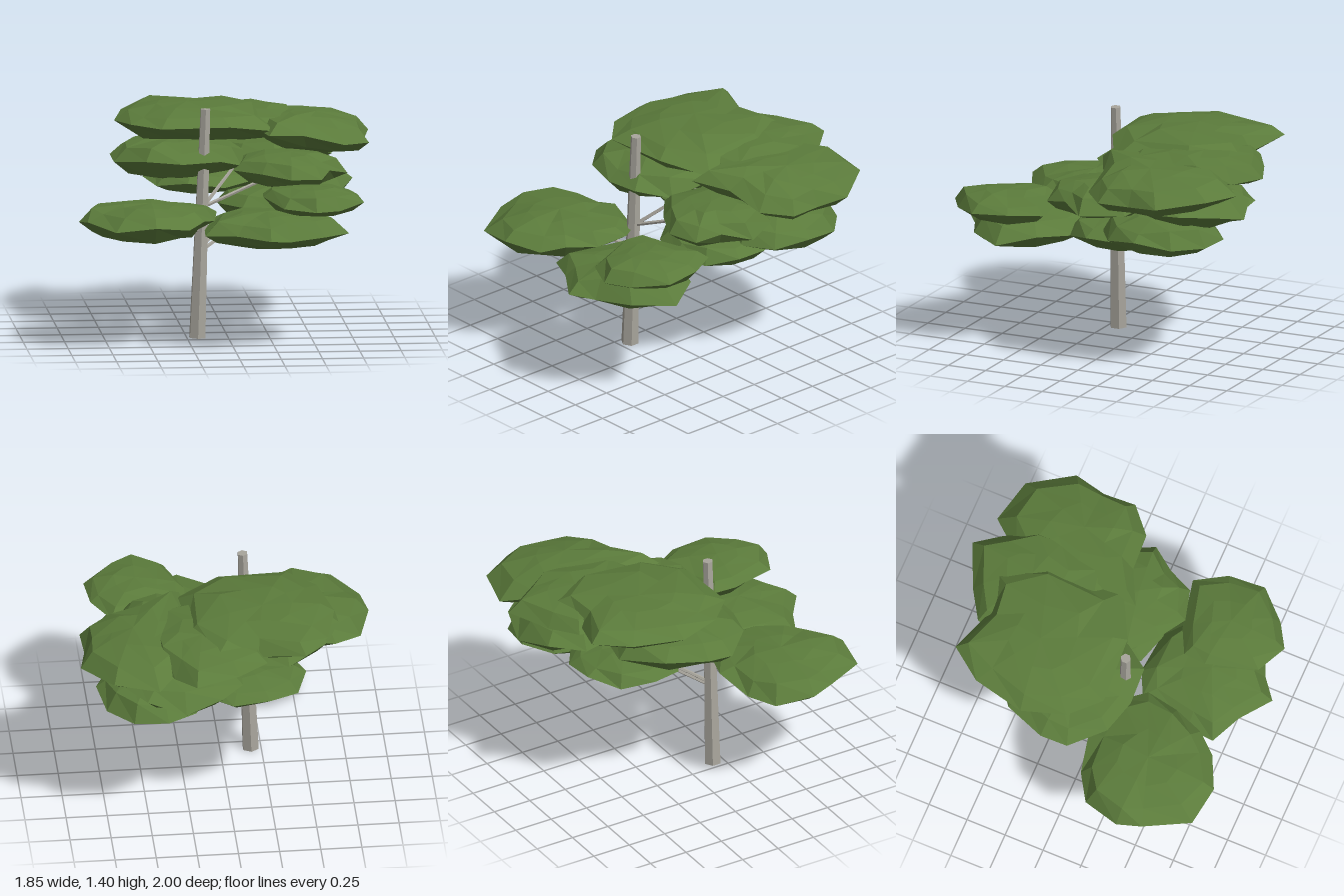
import * as THREE from 'three';

// Repeatable noise in -1..1
function noise(n) {
  const s = Math.sin(n * 12.9898) * 43758.5453;
  return (s - Math.floor(s)) * 2 - 1;
}

// Rounded footprint inside a rectangle, clockwise from above
function oval(x0, x1, z0, z1, turn) {
  const points = [];
  for (let i = 0; i < 10; i++) {
    const a = turn + (i / 10) * Math.PI * 2;
    points.push([(x0 + x1) / 2 + ((x1 - x0) / 2) * Math.cos(a), (z0 + z1) / 2 + ((z1 - z0) / 2) * Math.sin(a)]);
  }
  return points;
}

// Faceted leaf pad: its footprint is widest at mid-height and shrinks towards top and bottom
function leafPad(y0, y1, outline, [tiltX, tiltZ], seed) {
  const n = outline.length, h = y1 - y0;
  const cx = outline.reduce((s, p) => s + p[0], 0) / n;
  const cz = outline.reduce((s, p) => s + p[1], 0) / n;
  // scale, height, unevenness
  const rings = [[0.4, 0.05, 0.03], [0.77, 0.18, 0.07], [1, 0.48, 0.15], [0.8, 0.81, 0.07], [0.42, 0.95, 0.04]];
  const verts = [], faces = [];
  rings.forEach(([scale, height, uneven], r) => outline.forEach(([x, z], i) => {
    const k = seed * 91 + r * 17 + i;
    const s = scale === 1 ? 1 : scale + 0.05 * noise(k);
    const dx = (x - cx) * s, dz = (z - cz) * s;
    verts.push(cx + dx, y0 + h * (height + uneven * noise(k + 0.5)) + dx * tiltX + dz * tiltZ, cz + dz);
  }));
  verts.push(cx, y0, cz, cx, y1, cz);
  const bottom = rings.length * n, last = bottom - n;
  for (let i = 0; i < n; i++) {
    const j = (i + 1) % n;
    faces.push(bottom, i, j, bottom + 1, last + j, last + i);
    for (let lo = 0; lo < last; lo += n) {
      const hi = lo + n;
      faces.push(lo + i, hi + i, hi + j, lo + i, hi + j, lo + j);
    }
  }
  const geo = new THREE.BufferGeometry();
  geo.setAttribute('position', new THREE.Float32BufferAttribute(verts, 3));
  geo.setIndex(faces);
  const flat = geo.toNonIndexed();
  flat.computeVertexNormals();
  return flat;
}

// Straight tapered limb between two points
function limb(from, to, r0, r1, sides) {
  const a = new THREE.Vector3(...from), b = new THREE.Vector3(...to);
  const dir = b.clone().sub(a);
  const geo = new THREE.CylinderGeometry(r1, r0, dir.length(), sides).toNonIndexed();
  geo.computeVertexNormals();
  geo.applyQuaternion(new THREE.Quaternion().setFromUnitVectors(new THREE.Vector3(0, 1, 0), dir.normalize()));
  const mid = a.add(b).multiplyScalar(0.5);
  return geo.translate(mid.x, mid.y, mid.z);
}

export function createModel() {
  const tree = new THREE.Group();
  tree.name = 'tree';
  const bark = new THREE.MeshStandardMaterial({ color: 0xa8a59c });
  bark.name = 'bark';
  const leaves = new THREE.MeshStandardMaterial({ color: 0x5b7b3b });
  leaves.name = 'leaves';

  function add(name, geo, mat) {
    const mesh = new THREE.Mesh(geo, mat);
    mesh.name = name;
    tree.add(mesh);
  }

  // Leaning trunk with a bare tip
  add('trunk', limb([-0.187, 0, 0.18], [-0.137, 1.4, 0.175], 0.054, 0.032, 6), bark);

  // Thin branches reaching into the pads
  const branches = [
    [[-0.165, 0.53, 0.18], [0.45, 0.84, -0.42]],
    [[-0.165, 0.55, 0.18], [0.25, 0.87, -0.35]],
    [[-0.16, 0.65, 0.18], [-0.45, 0.77, 0.42]],
    [[-0.16, 0.79, 0.18], [0.1, 1.05, -0.1]],
    [[-0.155, 0.8, 0.18], [0.38, 1.0, 0.0]],
  ];
  for (const [from, to] of branches) add('branch', limb(from, to, 0.012, 0.009, 5), bark);

  // Flat tiers of foliage: bottom, top, footprint of [x, z] points clockwise from above, and any tilt
  const pads = {
    lowerRightFrontPad: [0.66, 0.88, [[-0.86, 0.22], [-0.7, 0.12], [-0.45, 0.07], [-0.18, 0.16], [-0.08, 0.3],
      [-0.11, 0.5], [-0.19, 0.69], [-0.29, 0.81], [-0.5, 0.91], [-0.74, 0.87], [-0.89, 0.6], [-0.93, 0.45]]],
    lowerFrontPad: [0.62, 0.84, [[-0.1, 0.27], [0.05, 0.2], [0.32, 0.22], [0.58, 0.36], [0.7, 0.58],
      [0.54, 0.8], [0.32, 0.9], [0.19, 1], [0, 0.86], [-0.19, 0.77], [-0.18, 0.6]]],
    upperFrontPad: [0.82, 0.99, [[0.19, 0.42], [0.35, 0.34], [0.65, 0.28], [0.76, 0.47], [0.78, 0.7],
      [0.62, 0.87], [0.47, 0.96], [0.28, 0.87], [0.18, 0.56]]],
    lowerMiddlePad: [0.69, 0.88, oval(-0.06, 0.64, -0.42, 0.24, 0.3)],
    lowerLeftPad: [0.74, 0.97, oval(0.14, 0.81, -0.82, -0.06, 0.1)],
    lowerBackPad: [0.8, 0.97, oval(-0.47, 0.25, -0.74, -0.05, 0)],
    middleLeftPad: [0.89, 1.11, [[0.08, -0.22], [0.32, -0.36], [0.62, -0.25], [0.74, 0], [0.62, 0.15],
      [0.56, 0.3], [0.37, 0.35], [0.2, 0.25], [0.04, 0.1]]],
    middleBackPad: [0.92, 1.12, oval(-0.08, 0.7, -0.9, -0.15, 0.3), [0, 0.12]],
    middleRightPad: [0.95, 1.19, [[-0.6, -0.4], [-0.35, -0.58], [0, -0.5], [0.13, -0.2], [0.09, 0.08],
      [-0.05, 0.26], [-0.28, 0.27], [-0.5, 0.21], [-0.68, 0.02], [-0.69, -0.15]]],
    upperLeftPad: [1.05, 1.28, [[0.47, -0.93], [0.74, -0.86], [0.92, -0.6], [0.88, -0.4], [0.89, -0.2],
      [0.73, -0.06], [0.48, -0.04], [0.26, 0.07], [0.18, -0.3], [0.28, -0.72]], [-0.1, 0]],
    upperBackPad: [1.11, 1.31, [[-0.02, -0.88], [0.25, -1], [0.37, -0.85], [0.47, -0.65], [0.5, -0.47],
      [0.4, -0.15], [0.1, -0.08], [-0.25, -0.3], [-0.2, -0.77]]],
    topPad: [1.15, 1.36, [[-0.43, -0.82], [-0.15, -0.73], [0.1, -0.77], [0.29, -0.51], [0.31, -0.03],
      [0.02, 0.12], [-0.4, 0.14], [-0.57, -0.03], [-0.65, -0.3], [-0.58, -0.62]]],
  };
  Object.entries(pads).forEach(([name, [y0, y1, outline, tilt = [0, 0]]], i) => {
    add(name, leafPad(y0, y1, outline, tilt, i + 1), leaves);
  });

  return tree;
}
